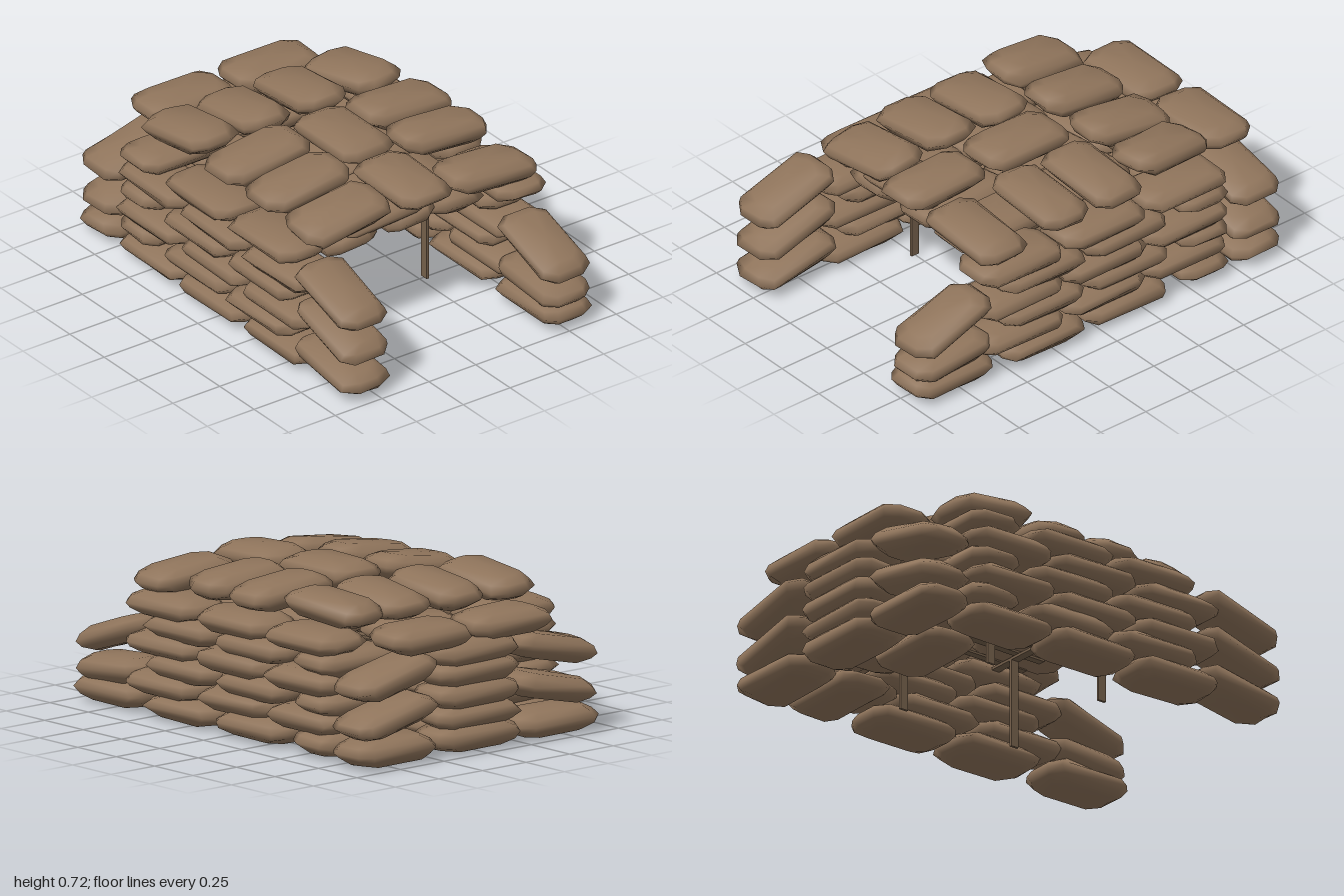
import * as THREE from 'three';

const bagCloth = new THREE.MeshStandardMaterial({ color: 0x8f745b });
bagCloth.name = 'bagCloth';
const wood = new THREE.MeshStandardMaterial({ color: 0x75604b });
wood.name = 'wood';

let seed = 7;
const jitter = (a) => {
  seed = (seed * 16807) % 2147483647;
  return (seed / 2147483647 - 0.5) * 2 * a;
};

// Pillow-shaped bag: chamfered-rectangle rings stacked in height, closed by caps
function bagGeometry(len, wid, hgt) {
  const pos = [], idx = [];
  const levels = [[-0.5, 0.065], [-0.25, 0.022], [0, 0], [0.27, 0.02], [0.5, 0.065]];
  for (const [y, inset] of levels) {
    const a = len / 2 - inset, b = wid / 2 - inset * 0.65;
    const c = 0.055 + jitter(0.01), d = 0.04 + jitter(0.01);
    const ring = [[a, b - c], [a, c - b], [a - d, -b], [d - a, -b], [-a, c - b], [-a, b - c], [d - a, b], [a - d, b]];
    for (const [x, z] of ring) pos.push(x + jitter(0.006), y * hgt + jitter(0.003), z + jitter(0.006));
  }
  for (let l = 0; l < levels.length - 1; l++) {
    for (let i = 0; i < 8; i++) {
      const p = l * 8 + i, q = l * 8 + (i + 1) % 8;
      idx.push(p, q, q + 8, p, q + 8, p + 8);
    }
  }
  const bottom = pos.length / 3, top = bottom + 1, last = (levels.length - 1) * 8;
  pos.push(0, -hgt / 2, 0, 0, hgt / 2 + 0.006, 0);
  for (let i = 0; i < 8; i++) {
    const j = (i + 1) % 8;
    idx.push(bottom, j, i, top, last + i, last + j);
  }
  const g = new THREE.BufferGeometry();
  g.setAttribute('position', new THREE.Float32BufferAttribute(pos, 3));
  g.setIndex(idx);
  g.computeVertexNormals();
  return g;
}

// One bag; pitch lifts the +length end after the bag is turned by yaw
function addBag(group, name, x, y, z, { len = 0.45, wid = 0.26, hgt = 0.1, yaw = 0, pitch = 0, roll = 0 } = {}) {
  const m = new THREE.Mesh(bagGeometry(len, wid, hgt), bagCloth);
  m.name = name;
  m.position.set(x, y, z);
  m.rotation.set(roll, yaw, pitch, 'YZX');
  group.add(m);
}

function subgroup(parent, name) {
  const g = new THREE.Group();
  g.name = name;
  parent.add(g);
  return g;
}

const ROW = 0.088, BASE = 0.062, TURN = Math.PI / 2;

export function createModel() {
  const model = new THREE.Group();
  model.name = 'sandbagBunker';

  // Three bonded walls: corners alternate between the long walls and the end wall
  const fullRow = [-0.49, -0.04, 0.42], offsetRow = [-0.16, 0.3];
  const frontWall = subgroup(model, 'frontWall');
  const backWall = subgroup(model, 'backWall');
  const endWall = subgroup(model, 'endWall');
  for (let r = 0; r < 6; r++) {
    const odd = r % 2 === 1, y = BASE + r * ROW;
    const loose = () => ({ hgt: 0.1, roll: jitter(0.03), yaw: jitter(0.02) });
    for (const x of odd ? offsetRow : fullRow) addBag(frontWall, 'wallBag', x, y, 0.55 + jitter(0.008), loose());
    for (const x of odd ? fullRow : offsetRow) addBag(backWall, 'wallBag', x, y, -0.535 + jitter(0.008), loose());
    for (const z of odd ? [0.455, -0.07] : [0.14, -0.445]) {
      addBag(endWall, 'endWallBag', -0.583, y, z, { hgt: 0.1, yaw: TURN + jitter(0.02), roll: jitter(0.03) });
    }
  }

  // Outer stack against the closed end: level in the middle, sloping down at both ends
  const outerStack = subgroup(model, 'outerStack');
  const addOuter = (y, z, pitch, len = 0.45) => addBag(outerStack, 'outerBag', -0.862 + jitter(0.005), y, z,
    { len, wid: 0.262, hgt: 0.108, yaw: TURN, pitch, roll: y > 0.1 ? jitter(0.06) : 0 });
  for (let r = 0; r < 5; r++) addOuter(0.066 + r * 0.094, 0, 0, 0.46);
  for (const [y, pitch] of [[0.066, 0], [0.21, 0.22], [0.385, 0.22]]) {
    addOuter(y, 0.455, pitch);
    addOuter(y, -0.465, -pitch);
  }
  for (const z of [0.195, -0.27]) addOuter(0.535, z, 0, 0.44);

  // Sloping bags stepping down at the open end
  const entrance = subgroup(model, 'entranceBags');
  for (const [y, z, pitch] of [
    [0.095, 0.55, -0.18], [0.262, 0.55, -0.29], [0.43, 0.55, -0.31],
    [0.066, -0.52, 0], [0.16, -0.52, -0.08], [0.318, -0.52, -0.33],
  ]) {
    addBag(entrance, 'entranceBag', z > 0 ? 0.772 : 0.785, y, z, { len: 0.43, wid: 0.25, hgt: 0.11, pitch });
  }

  // Lower roof layer resting on the timber frame
  const lowerRoof = subgroup(model, 'lowerRoof');
  for (const [z, y, roll] of [[0.3, 0.485, 0.05], [-0.02, 0.485, 0.1], [-0.26, 0.495, -0.05]]) {
    for (const x of [-0.17, 0.3]) {
      addBag(lowerRoof, 'lowerRoofBag', x, y + jitter(0.01), z, { len: 0.48, wid: 0.27, hgt: 0.12, roll });
    }
  }
  addBag(lowerRoof, 'lintelBag', 0.41, 0.54, 0.13, { hgt: 0.09, yaw: TURN, pitch: 0.07 });

  // Upper roof layer: bags sloping down to the front, the back and the closed end
  const roof = subgroup(model, 'upperRoof');
  for (const x of [-0.125, 0.17, 0.46]) {
    const outer = x > 0.4;
    addBag(roof, 'frontRoofBag', x, outer ? 0.61 : 0.635, 0.34,
      { yaw: TURN, pitch: 0.13, hgt: 0.11, roll: outer ? 0.12 : 0 });
  }
  for (const [x, z] of [[-0.13, -0.42], [0.155, -0.415], [0.505, -0.41]]) {
    addBag(roof, 'backRoofBag', x, x > 0.4 ? 0.605 : 0.635, z, { yaw: TURN, pitch: -0.08, wid: 0.25, hgt: 0.11 });
  }
  addBag(roof, 'ridgeBag', -0.02, 0.655, -0.04, { len: 0.44, hgt: 0.11 });
  addBag(roof, 'ridgeBag', 0.43, 0.64, -0.03, { len: 0.43, hgt: 0.11, pitch: -0.04 });
  for (const [z, yaw] of [[0.43, 0.03], [0.145, 0], [-0.16, -0.04], [-0.435, 0.16]]) {
    addBag(roof, 'endRoofBag', -0.495, 0.625, z, { len: 0.43, wid: 0.255, hgt: 0.11, yaw, pitch: 0.13 });
  }

  // Timber frame: four posts, two cross beams and roof slats
  const frame = subgroup(model, 'timberFrame');
  const addBoard = (name, w, h, d, x, y, z) => {
    const m = new THREE.Mesh(new THREE.BoxGeometry(w, h, d), wood);
    m.name = name;
    m.position.set(x, y, z);
    frame.add(m);
  };
  for (const x of [-0.36, 0.25]) {
    for (const z of [0.32, -0.28]) addBoard('post', 0.04, 0.41, 0.012, x, 0.205, z);
    addBoard('crossBeam', 0.04, 0.012, 0.84, x, 0.414, 0.01);
  }
  for (let i = 0; i < 7; i++) addBoard('roofSlat', 0.8, 0.01, 0.035, -0.03, 0.425, -0.36 + i * 0.12);

  return model;
}
